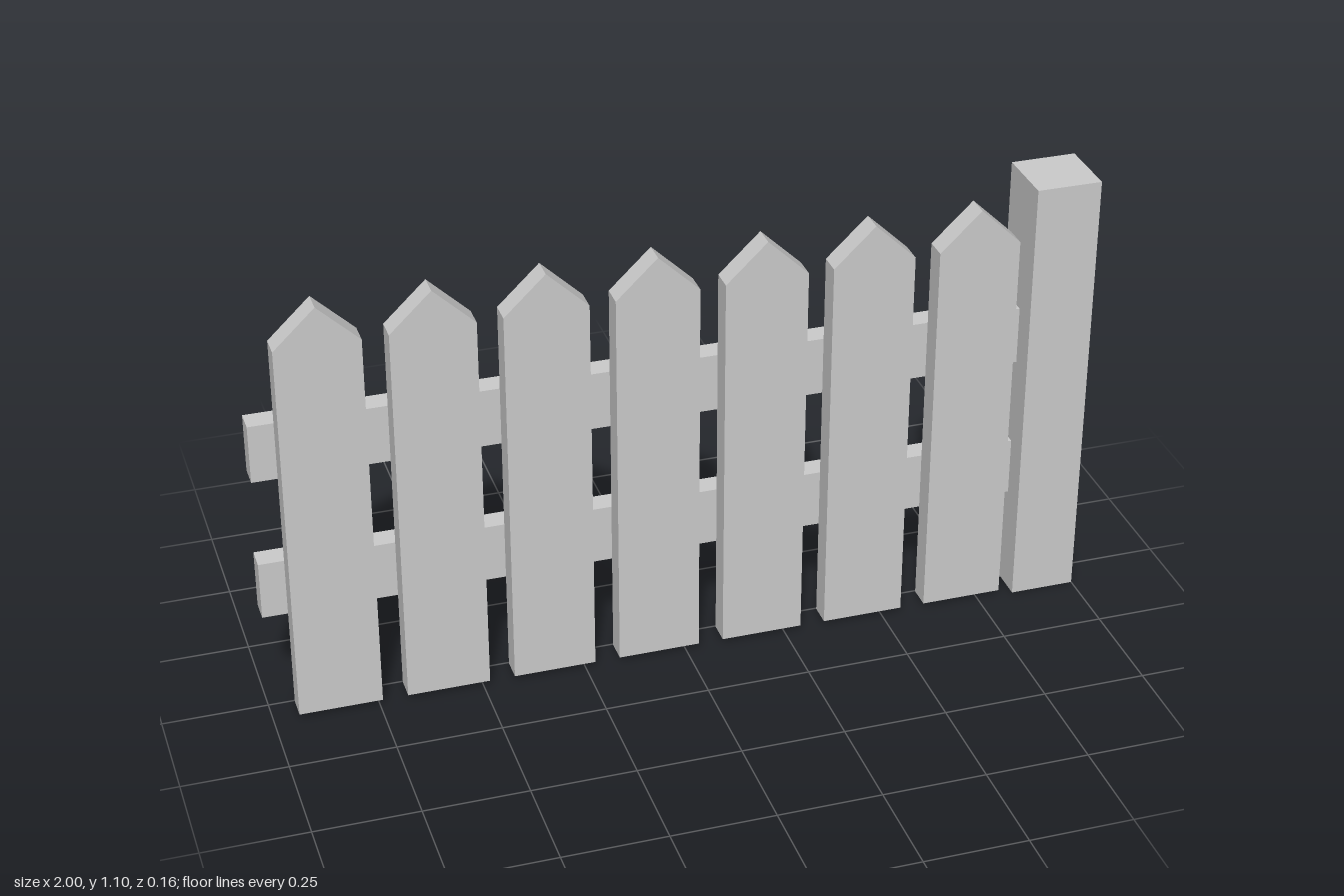
import * as THREE from 'three';

const material = new THREE.MeshStandardMaterial({ color: 0xcccccc, flatShading: true });

// Box given by its minimum and maximum corners
function addBox(group, name, [x0, y0, z0], [x1, y1, z1]) {
  const mesh = new THREE.Mesh(new THREE.BoxGeometry(x1 - x0, y1 - y0, z1 - z0), material);
  mesh.name = name;
  mesh.position.set((x0 + x1) / 2, (y0 + y1) / 2, (z0 + z1) / 2);
  group.add(mesh);
}

// Flat board with a pointed top
function picketGeometry() {
  const half = 0.099;
  const shape = new THREE.Shape([
    new THREE.Vector2(-half, 0.01),
    new THREE.Vector2(half, 0.01),
    new THREE.Vector2(half, 0.973),
    new THREE.Vector2(0, 1.068),
    new THREE.Vector2(-half, 0.973),
  ]);
  return new THREE.ExtrudeGeometry(shape, { depth: 0.056, bevelEnabled: false });
}

export function createModel() {
  const fence = new THREE.Group();
  fence.name = 'picketFence';

  // Square end post
  addBox(fence, 'post', [0.842, 0, -0.079], [1, 1.102, 0.079]);

  // Horizontal rails behind the pickets, butting against the post
  addBox(fence, 'lowerRail', [-1, 0.257, -0.039], [0.842, 0.401, 0.017]);
  addBox(fence, 'upperRail', [-1, 0.62, -0.039], [0.842, 0.764, 0.017]);

  // Evenly spaced pickets
  const geometry = picketGeometry();
  for (let i = 0; i < 7; i++) {
    const picket = new THREE.Mesh(geometry, material);
    picket.name = `picket${i + 1}`;
    picket.position.set(-0.841 + i * 0.2583, 0, 0.017);
    fence.add(picket);
  }
  return fence;
}
